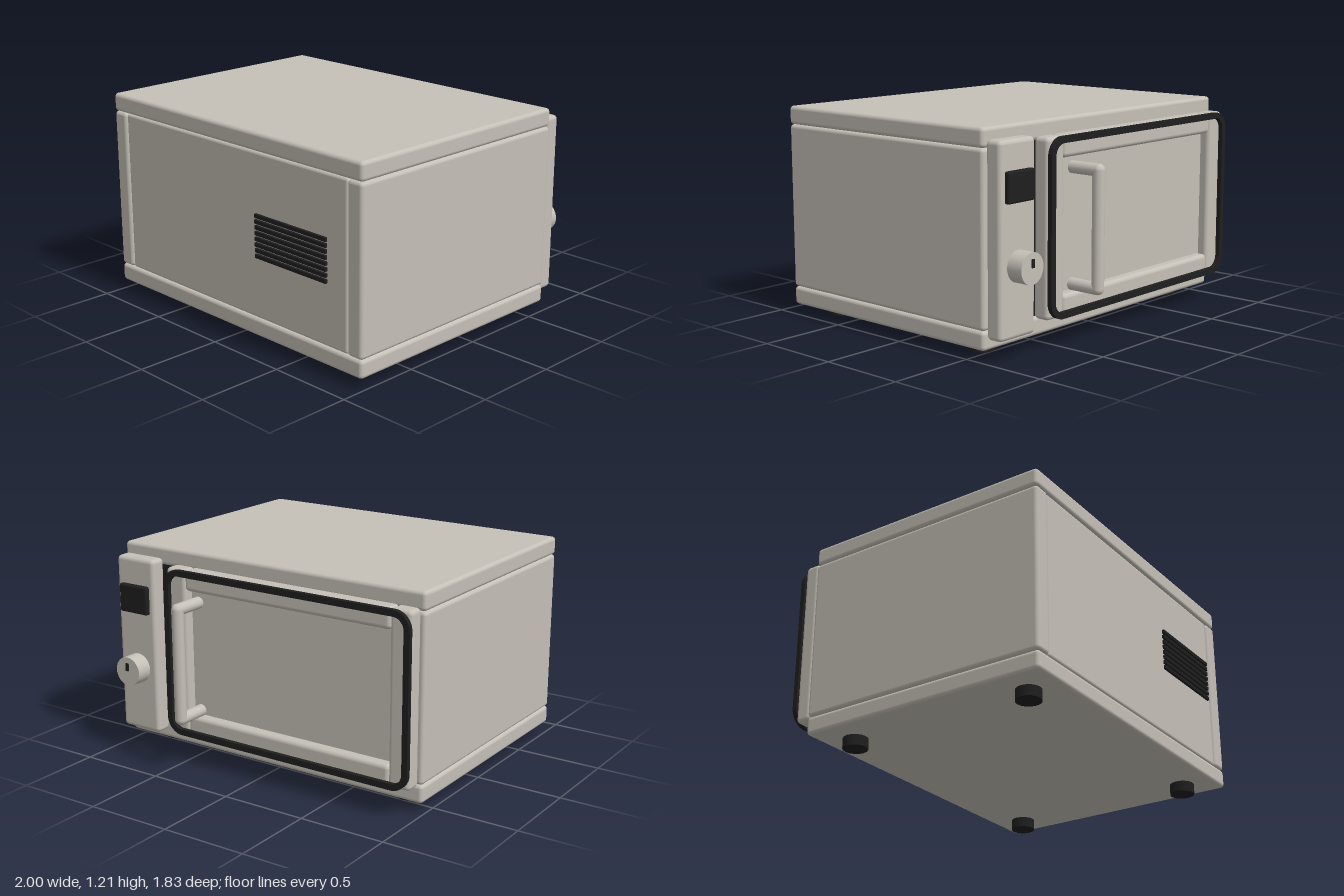
import * as THREE from 'three';
import { RoundedBoxGeometry } from 'three/addons/geometries/RoundedBoxGeometry.js';

export function createModel() {
  const model = new THREE.Group();
  model.name = 'countertopOven';
  const mat = (name, color) => {
    const m = new THREE.MeshStandardMaterial({ color });
    m.name = name;
    return m;
  };
  const shell = mat('warm grey enamel', 0xc5c0b7);
  const dark = mat('black rubber', 0x1f1f1f);

  const add = (name, geometry, material, parent = model) => {
    const mesh = new THREE.Mesh(geometry, material);
    mesh.name = name;
    parent.add(mesh);
    return mesh;
  };
  // Box given by its extents, with rounded edges when r > 0
  const box = (name, [x0, x1], [y0, y1], [z0, z1], r, material, parent) => {
    const s = [x1 - x0, y1 - y0, z1 - z0];
    const g = r ? new RoundedBoxGeometry(...s, 3, r) : new THREE.BoxGeometry(...s);
    g.translate((x0 + x1) / 2, (y0 + y1) / 2, (z0 + z1) / 2);
    return add(name, g, material, parent);
  };
  const roundedRect = (path, x0, x1, y0, y1, r) => {
    path.moveTo(x0 + r, y0);
    path.lineTo(x1 - r, y0);
    path.absarc(x1 - r, y0 + r, r, -Math.PI / 2, 0);
    path.lineTo(x1, y1 - r);
    path.absarc(x1 - r, y1 - r, r, 0, Math.PI / 2);
    path.lineTo(x0 + r, y1);
    path.absarc(x0 + r, y1 - r, r, Math.PI / 2, Math.PI);
    path.lineTo(x0, y0 + r);
    path.absarc(x0 + r, y0 + r, r, Math.PI, Math.PI * 1.5);
    return path;
  };

  // Casing
  const depth = [-0.62, 0.875];
  box('topPanel', [-1, 1], [1.105, 1.21], depth, 0.022, shell);
  box('bottomPanel', [-1, 1], [0.06, 0.165], depth, 0.022, shell);
  box('rightSidePanel', [-1, -0.895], [0.165, 1.105], depth, 0.022, shell);
  box('leftSidePanel', [0.895, 1], [0.165, 1.105], depth, 0.022, shell);
  box('rearPanel', [-0.895, 0.895], [0.165, 1.105], [0.77, 0.868], 0.018, shell);
  box('innerCavity', [-0.9, 0.9], [0.14, 1.13], [-0.6, 0.8], 0, dark);

  // Vent slats
  const vent = new THREE.Group();
  vent.name = 'vent';
  model.add(vent);
  for (let i = 0; i < 8; i++) {
    const y = 0.547 + i * 0.032;
    box('ventSlat', [0.25, 0.785], [y - 0.012, y + 0.012], [0.9, 0.916], 0.004, dark, vent);
  }

  // Feet
  for (const x of [-0.81, 0.81]) for (const z of [-0.43, 0.69]) {
    add('foot', new THREE.CylinderGeometry(0.07, 0.07, 0.07, 16), dark).position.set(x, 0.035, z);
  }

  // Door frame, window and gasket
  const door = new THREE.Group();
  door.name = 'door';
  model.add(door);
  const frameZ = [-0.72, -0.62];
  box('doorPostRight', [-0.98, -0.85], [0.16, 1.13], frameZ, 0.025, shell, door);
  box('doorPostLeft', [0.48, 0.615], [0.16, 1.13], frameZ, 0.025, shell, door);
  box('doorRailTop', [-0.855, 0.485], [1.01, 1.13], frameZ, 0.025, shell, door);
  box('doorRailBottom', [-0.855, 0.485], [0.16, 0.28], frameZ, 0.025, shell, door);
  box('doorWindow', [-0.87, 0.5], [0.25, 1.04], [-0.66, -0.63], 0, shell, door);
  const ring = roundedRect(new THREE.Shape(), -0.983, 0.615, 0.16, 1.13, 0.1);
  ring.holes.push(roundedRect(new THREE.Path(), -0.948, 0.58, 0.195, 1.095, 0.065));
  const gasket = new THREE.ExtrudeGeometry(ring, { depth: 0.027, bevelEnabled: false, curveSegments: 8 });
  add('doorGasket', gasket, dark, door).position.z = -0.746;

  // Handle: grip, two standoffs and round elbows
  const handle = new THREE.Group();
  handle.name = 'handle';
  door.add(handle);
  const r = 0.034;
  add('grip', new THREE.CylinderGeometry(r, r, 0.63, 20), shell, handle).position.set(0.4, 0.64, -0.881);
  for (const y of [0.325, 0.955]) {
    const standoff = add('standoff', new THREE.CylinderGeometry(r, r, 0.18, 20), shell, handle);
    standoff.rotation.x = Math.PI / 2;
    standoff.position.set(0.4, y, -0.791);
    add('elbow', new THREE.SphereGeometry(r, 20, 12), shell, handle).position.set(0.4, y, -0.881);
  }

  // Control panel with display and knob
  const controls = new THREE.Group();
  controls.name = 'controls';
  model.add(controls);
  box('controlPanel', [0.71, 0.98], [0.12, 1.15], frameZ, 0.025, shell, controls);
  box('display', [0.745, 0.945], [0.83, 0.995], [-0.748, -0.71], 0.012, dark, controls);
  const knob = add('knob', new THREE.CylinderGeometry(0.085, 0.085, 0.105, 32), shell, controls);
  knob.rotation.x = Math.PI / 2;
  knob.position.set(0.845, 0.5, -0.7625);
  box('knobPointer', [0.836, 0.854], [0.505, 0.55], [-0.823, -0.814], 0, dark, controls);

  return model;
}
